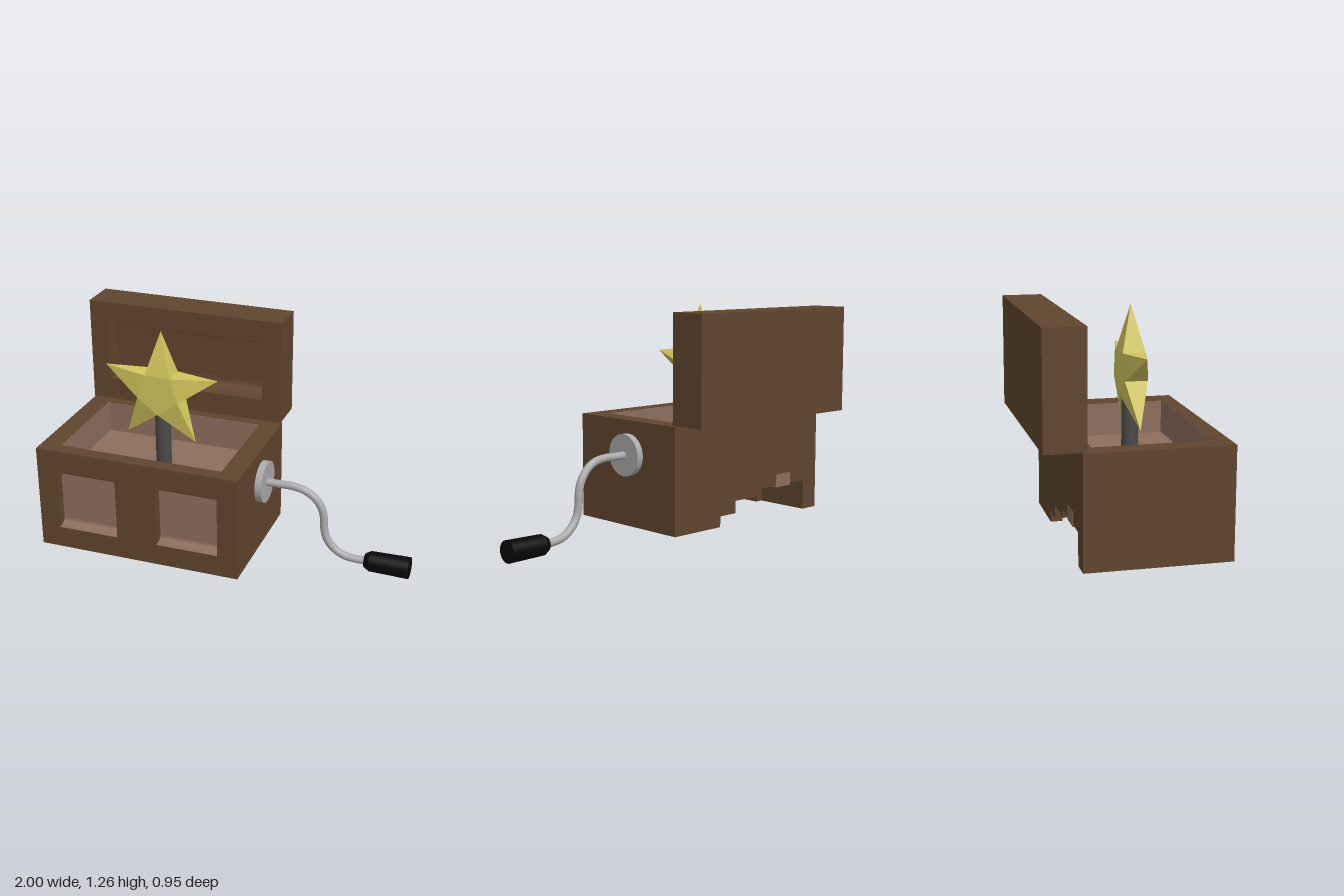
import * as THREE from 'three';
import { toCreasedNormals } from 'three/addons/utils/BufferGeometryUtils.js';

const mat = (color, extra = {}) => new THREE.MeshStandardMaterial({ color, ...extra });
const wood = mat(0x60452e), lining = mat(0x8c6e5d), steel = mat(0xaaaaaa);
const darkMetal = mat(0x4a4a4a), rubber = mat(0x080808);
const gold = mat(0xd2c65c, { flatShading: true });

export function createModel() {
  const model = new THREE.Group();

  const add = (name, geometry, material, parent = model) => {
    const mesh = new THREE.Mesh(geometry, material);
    mesh.name = name;
    parent.add(mesh);
    return mesh;
  };
  // Box given by its minimum and maximum on each axis
  const block = (name, [x0, x1], [y0, y1], [z0, z1], material, parent) =>
    add(name, new THREE.BoxGeometry(x1 - x0, y1 - y0, z1 - z0)
      .translate((x0 + x1) / 2, (y0 + y1) / 2, (z0 + z1) / 2), material, parent);
  const polygon = (points) => new THREE.Shape(points.map(([x, y]) => new THREE.Vector2(x, y)));
  const rect = (x0, x1, y0, y1) => polygon([[x0, y0], [x1, y0], [x1, y1], [x0, y1]]);
  const slab = (shape, z0, z1) => new THREE.ExtrudeGeometry(shape,
    { depth: z1 - z0, bevelEnabled: false }).translate(0, 0, z0);
  // Concave filler along x, in the corner at (y, z); dir is +1 for a floor, -1 for a ceiling
  const cove = (name, [x0, x1], y, z, depth, height, dir, material, parent) => {
    const shape = new THREE.Shape();
    shape.lineTo(depth, 0);
    shape.quadraticCurveTo(0, 0, 0, dir * height);
    const geometry = slab(shape, 0, x1 - x0).rotateY(-Math.PI / 2).translate(x1, y, z);
    add(name, toCreasedNormals(geometry, 0.6), material, parent);
  };

  const L = -1, R = 0.156, innerL = -0.89, innerR = 0.042, bottom = 0.06, top = 0.65;
  const floor = 0.465;

  // Chest body
  const chest = new THREE.Group();
  chest.name = 'chest';
  model.add(chest);
  const windows = [[-0.89, -0.54], [-0.31, 0.042]];
  const front = rect(L, R, bottom, top);
  windows.forEach(([a, b]) => front.holes.push(rect(a, b, 0.18, 0.53)));
  add('frontFrame', slab(front, 0.395, 0.473), wood, chest);

  // Recessed window panels with coved sills and heads
  windows.forEach((x) => {
    block('windowPanel', x, [0.18, 0.53], [0.397, 0.41], lining, chest);
    cove('windowSill', x, 0.18, 0.41, 0.06, 0.03, 1, lining, chest);
    cove('windowHead', x, 0.53, 0.41, 0.06, 0.045, -1, wood, chest);
  });

  // Back wall with a stepped notch along its lower edge
  add('backWall', slab(polygon([
    [L, bottom], [innerL, bottom], [innerL, 0.23], [-0.53, 0.23], [-0.53, 0.19],
    [-0.31, 0.19], [-0.31, 0.12], [-0.19, 0.12], [-0.19, bottom], [R, bottom],
    [R, top], [L, top],
  ]), -0.285, -0.22), wood, chest);
  block('backInset', [-0.77, -0.65], [0.22, 0.295], [-0.287, -0.25], lining, chest);

  // Base with a T-shaped hollow underneath (drawn in x and -z, then laid flat)
  const base = slab(polygon([
    [L, 0.22], [L, -0.395], [R, -0.395], [R, 0.22], [innerR, 0.22], [innerR, -0.04],
    [-0.07, -0.04], [-0.07, -0.285], [-0.845, -0.285], [-0.845, -0.04],
    [innerL, -0.04], [innerL, 0.22],
  ]), bottom, 0.25).rotateX(-Math.PI / 2);
  add('hollowBase', base, wood, chest);
  block('middle', [L, R], [0.25, floor], [-0.22, 0.395], wood, chest);
  [[L, innerL], [innerR, R]].forEach((x) =>
    block('sideWall', x, [floor, top], [-0.22, 0.395], wood, chest));

  // Lined tray in the top
  const t = 0.003;
  block('trayFloor', [innerL, innerR], [floor, floor + t], [-0.22, 0.395], lining, chest);
  [[innerL, innerL + t], [innerR - t, innerR]].forEach((x) =>
    block('traySide', x, [floor + t, top - t], [-0.22, 0.395], lining, chest));
  [[-0.22, -0.22 + t], [0.395 - t, 0.395]].forEach((z) =>
    block('trayEnd', [innerL, innerR], [floor + t, top - t], z, lining, chest));

  // Upright open lid with a coved recess in its inner face
  const lid = new THREE.Group();
  lid.name = 'lid';
  model.add(lid);
  const lidFrame = rect(L, 0.153, 0.655, 1.25);
  lidFrame.holes.push(rect(innerL, innerR, 0.78, 1.13));
  add('lidFrame', slab(lidFrame, -0.375, -0.263), wood, lid);
  block('lidBack', [L, 0.153], [0.655, 1.25], [-0.475, -0.375], wood, lid);
  cove('lidCoveTop', [innerL, innerR], 1.13, -0.375, 0.07, 0.06, -1, wood, lid);
  cove('lidCoveBottom', [innerL, innerR], 0.78, -0.375, 0.07, 0.06, 1, wood, lid);

  // Post carrying the star
  add('post', new THREE.CylinderGeometry(0.043, 0.043, 0.7, 24).translate(-0.412, 0.475, 0.093),
    darkMetal);

  // Star: a pentagonal core with a pyramid on each side
  const ring = (r, i, z) => {
    const a = Math.PI / 2 + i * Math.PI / 5;
    return [r * Math.cos(a), r * Math.sin(a), z];
  };
  const d = 0.06, core = 0.123, tris = [];
  for (let i = 0; i < 10; i += 2) {
    const tip = ring(0.343, i, 0);
    const a = ring(core, i - 1, d), b = ring(core, i + 1, d);
    const c = ring(core, i - 1, -d), e = ring(core, i + 1, -d);
    tris.push(a, tip, b, tip, c, e, a, c, tip, b, tip, e);
    tris.push([0, 0, d], a, b, [0, 0, -d], e, c);
  }
  const starGeometry = new THREE.BufferGeometry();
  starGeometry.setAttribute('position', new THREE.Float32BufferAttribute(tris.flat(), 3));
  starGeometry.computeVertexNormals();
  const star = add('star', starGeometry, gold);
  star.position.set(-0.416, 0.921, 0.095);
  star.rotation.z = -0.02;

  // Crank: mounting disc, rod bent through two quarter turns, and grip
  const crank = new THREE.Group();
  crank.name = 'crank';
  model.add(crank);
  add('disc', new THREE.CylinderGeometry(0.117, 0.117, 0.04, 32).rotateZ(Math.PI / 2)
    .translate(0.174, 0.46, 0.083), steel, crank);
  const points = [[0.18, 0.46], [0.26, 0.46]];
  for (let i = 0; i <= 4; i++) {
    const a = i * Math.PI / 8;
    points.push([0.333 + 0.184 * Math.sin(a), 0.276 + 0.184 * Math.cos(a)]);
  }
  for (let i = 0; i <= 4; i++) {
    const a = i * Math.PI / 8;
    points.push([0.701 - 0.184 * Math.cos(a), 0.248 - 0.184 * Math.sin(a)]);
  }
  points.push([0.8, 0.064]);
  const path = new THREE.CatmullRomCurve3(points.map(([x, y]) =>
    new THREE.Vector3(x, y, 0.083 - 0.06 * Math.max(0, x - 0.4))));
  add('rod', new THREE.TubeGeometry(path, 70, 0.022, 16), steel, crank);
  const grip = new THREE.Group();
  grip.name = 'grip';
  grip.position.set(0, 0.063, 0.06);
  crank.add(grip);
  add('gripBody', new THREE.CylinderGeometry(0.056, 0.06, 0.22, 24).rotateZ(Math.PI / 2)
    .translate(0.89, 0, 0), rubber, grip);
  add('gripCollar', new THREE.CylinderGeometry(0.038, 0.056, 0.03, 24).rotateZ(Math.PI / 2)
    .translate(0.765, 0, 0), rubber, grip);
  return model;
}
